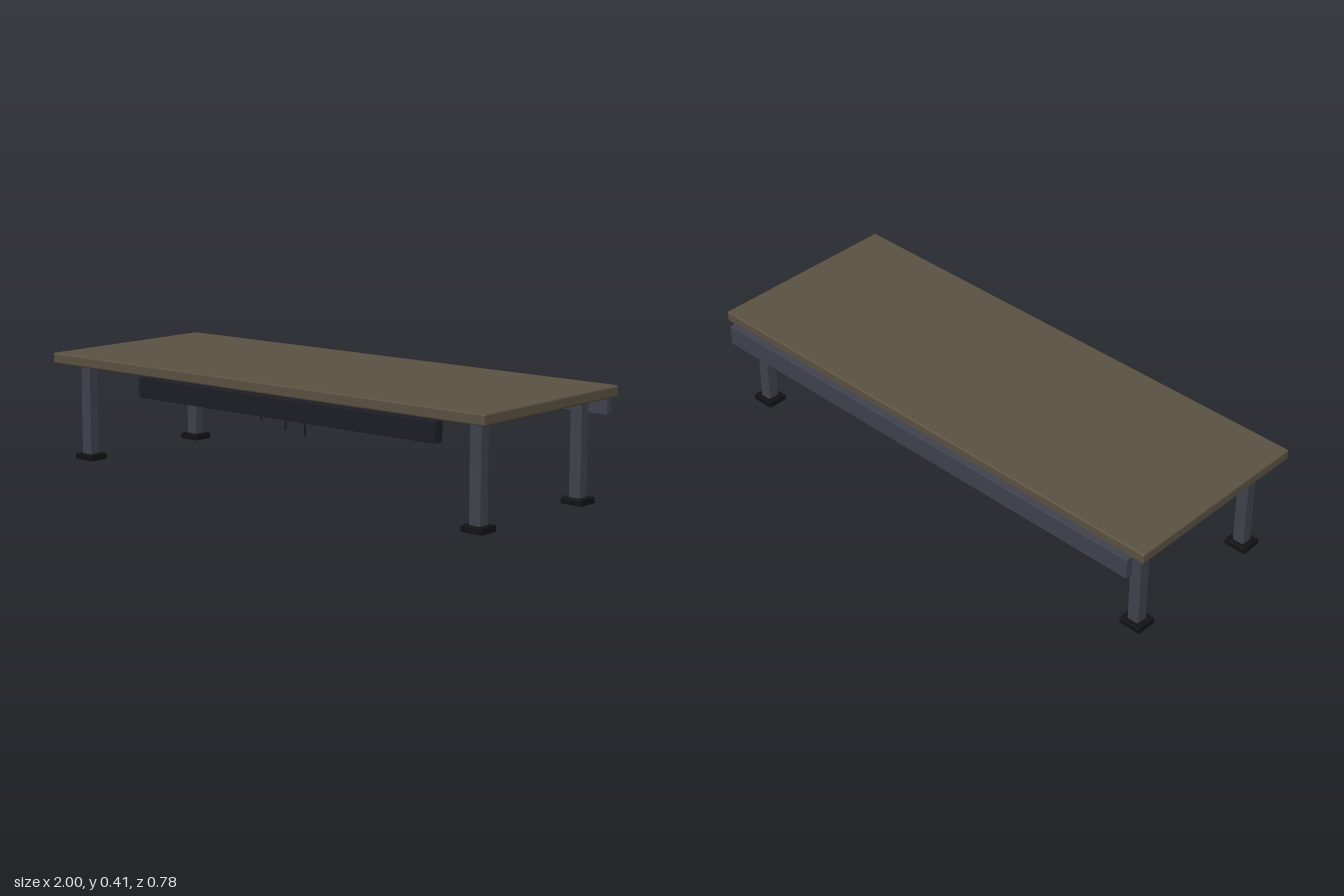
import * as THREE from 'three';
import { RoundedBoxGeometry } from 'three/addons/geometries/RoundedBoxGeometry.js';

const mat = (color) => new THREE.MeshStandardMaterial({ color });

export function createModel() {
  const model = new THREE.Group();
  model.name = 'desk';
  const wood = mat(0x5a5140), steel = mat(0x3f424c), dark = mat(0x1d1e25), black = mat(0x121215);

  // Rounded box given by its minimum and maximum corners
  const block = (name, min, max, radius, material) => {
    const size = max.map((v, i) => v - min[i]);
    const mesh = new THREE.Mesh(new RoundedBoxGeometry(...size, 2, radius), material);
    mesh.position.set(...min.map((v, i) => (v + max[i]) / 2));
    mesh.name = name;
    model.add(mesh);
  };

  // Top, rear rail and the off-centre tray under the front edge
  block('tabletop', [-1, 0.365, -0.364], [1, 0.405, 0.39], 0.007, wood);
  block('rearRail', [-0.955, 0.296, -0.39], [0.955, 0.374, -0.361], 0.003, steel);
  block('frontTray', [-0.547, 0.286, 0.348], [0.804, 0.358, 0.385], 0.002, dark);

  // Four square legs on foot plates
  for (const x of [-0.909, 0.909]) {
    for (const z of [-0.266, 0.292]) {
      block('leg', [x - 0.023, 0.02, z - 0.023], [x + 0.023, 0.365, z + 0.023], 0.005, steel);
      block('footPlate', [x - 0.043, 0, z - 0.039], [x + 0.043, 0.022, z + 0.039], 0.002, black);
    }
  }

  // Thin cables slanting down from the underside, each longer than the last
  [[-0.185, 0.256], [-0.09, 0.24], [0.025, 0.223], [0.115, 0.208]].forEach(([x, endY]) => {
    const start = new THREE.Vector3(x, 0.367, 0.24);
    const end = new THREE.Vector3(x + 0.025, endY, 0.26);
    const dir = end.clone().sub(start);
    const cable = new THREE.Mesh(new THREE.CylinderGeometry(0.0035, 0.0035, dir.length(), 8), black);
    cable.position.copy(start).add(end).multiplyScalar(0.5);
    cable.quaternion.setFromUnitVectors(new THREE.Vector3(0, 1, 0), dir.normalize());
    cable.name = 'cable';
    model.add(cable);
  });

  return model;
}
